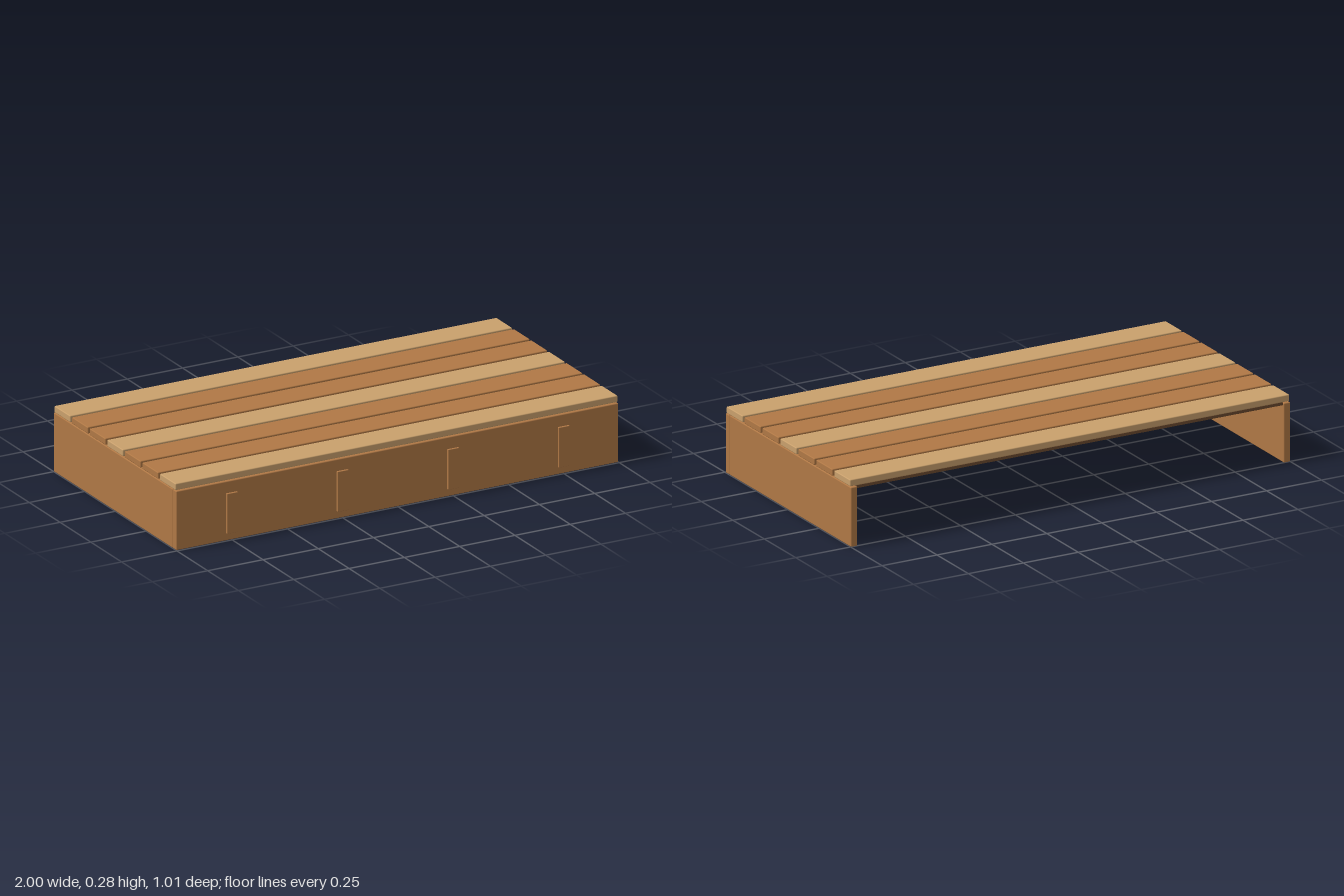
import * as THREE from 'three';
import { RoundedBoxGeometry } from 'three/addons/geometries/RoundedBoxGeometry.js';

function material(name, color) {
  const m = new THREE.MeshStandardMaterial({ color });
  m.name = name;
  return m;
}

export function createModel() {
  const group = new THREE.Group();
  group.name = 'deckPlatform';

  const brownWood = material('brown wood', 0xb07845);
  const lightWood = material('light wood', 0xc9a06c);
  const darkWood = material('dark wood', 0x6b4a2f);

  // Board with softly eased edges, given by its minimum and maximum corners
  function board(name, mat, min, max, radius = 0.004) {
    const size = max.map((v, i) => v - min[i]);
    const geometry = radius > 0
      ? new RoundedBoxGeometry(...size, 2, radius)
      : new THREE.BoxGeometry(...size);
    const mesh = new THREE.Mesh(geometry, mat);
    mesh.name = name;
    mesh.position.set(...min.map((v, i) => (v + max[i]) / 2));
    group.add(mesh);
  }

  // Deck planks: the two outer ones and the middle one are lighter
  const pitch = 0.1427;
  for (let i = 0; i < 7; i++) {
    const z = 0.4245 - i * pitch;
    board(`deckPlank${i + 1}`, i % 3 === 0 ? lightWood : brownWood,
      [-1, 0.252, z - 0.064], [1, 0.28, z + 0.064]);
  }

  // Dark panel under the planks, seen through the gaps and from below
  board('underPanel', darkWood, [-0.97, 0.24, -0.495], [0.97, 0.252, 0.466], 0);

  // Side walls; the back stays open
  board('leftWall', brownWood, [0.97, 0, -0.503], [1, 0.25, 0.465]);
  board('rightWall', brownWood, [-1, 0, -0.503], [-0.97, 0.25, 0.465]);

  // Front wall with four upright battens
  board('frontWall', brownWood, [-1, 0, 0.466], [1, 0.25, 0.495]);
  for (const x of [-0.75, -0.25, 0.25, 0.75]) {
    board('frontBatten', brownWood, [x - 0.025, 0.03, 0.49], [x + 0.025, 0.2, 0.504], 0.002);
  }

  return group;
}
